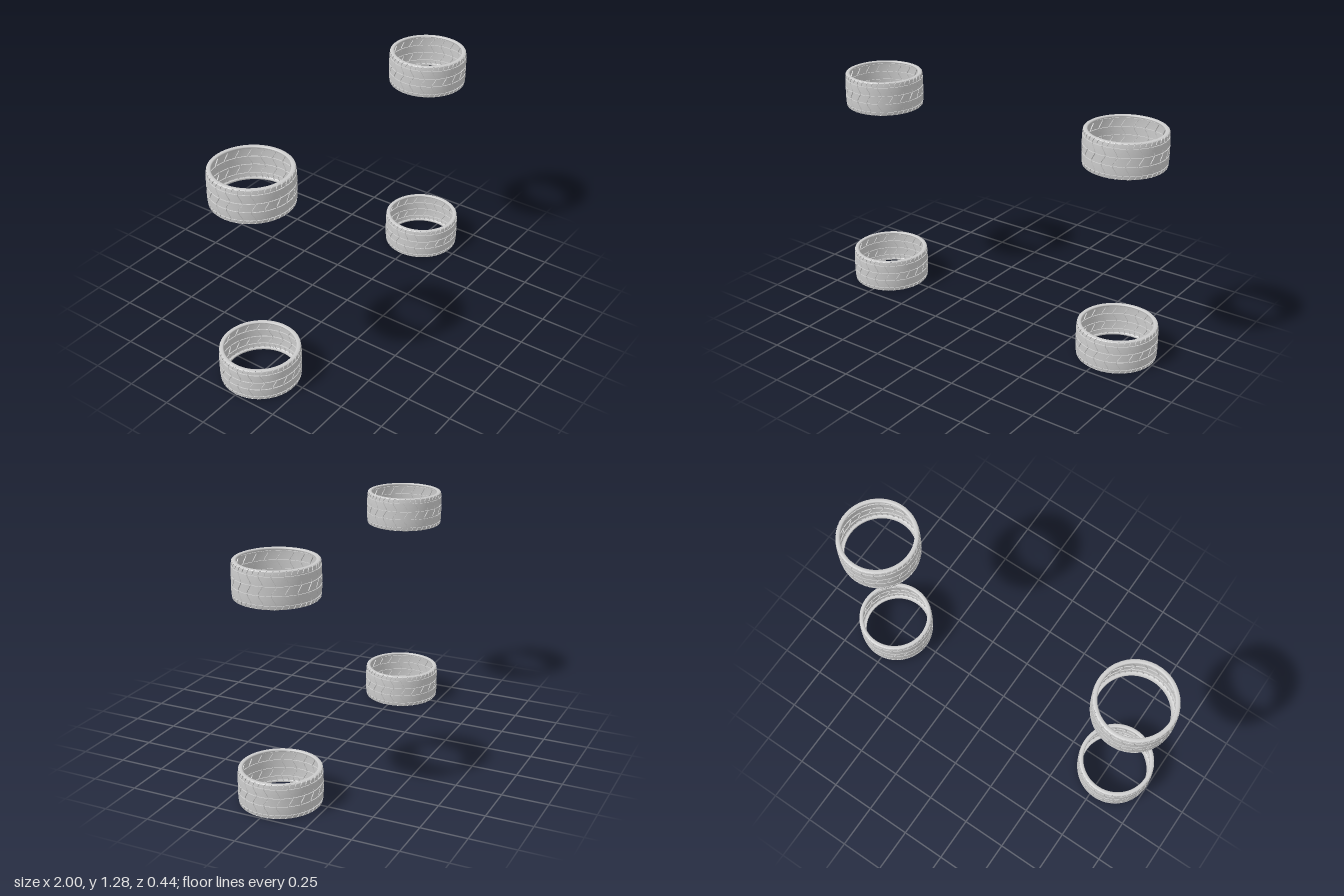
import * as THREE from 'three';
import { toCreasedNormals } from 'three/addons/utils/BufferGeometryUtils.js';

const R = 0.218, H = 0.19, DEPTH = 0.005, PITCHES = 22, E = 0.0004;

// Grid lines along the width (v = -0.5..0.5); deep marks a groove floor
function widthLines() {
  const lines = [{ v: -0.49, rim: true }, { v: -0.475 }, { v: -0.44 }];
  const centres = [-0.37, -0.12, 0.12, 0.37], w = 0.016, e = E / H;
  centres.forEach((c, i) => {
    lines.push({ v: c - w - e }, { v: c - w, deep: true }, { v: c + w, deep: true }, { v: c + w + e });
    if (i < 3) {
      const a = c + w, b = centres[i + 1] - w;
      for (let k = 1; k < 5; k++) lines.push({ v: a + (b - a) * k / 5 });
    }
  });
  lines.push({ v: 0.44 }, { v: 0.475 }, { v: 0.49, rim: true });
  return lines;
}

// Grid lines around one pitch (u = 0..1): a full cross groove and a shoulder notch
const E_U = 0.01;
const pitchLines = [
  { u: 0, cut: 'full' }, { u: 0.075, cut: 'full' }, { u: 0.075 + E_U }, { u: 0.3 },
  { u: 0.5 - E_U }, { u: 0.5, cut: 'notch' }, { u: 0.57, cut: 'notch' }, { u: 0.57 + E_U },
  { u: 0.78 }, { u: 1 - E_U },
];

// Tread shell with wavy cross grooves and four grooves running round it
function treadGeometry() {
  const rows = widthLines(), cols = PITCHES * pitchLines.length;
  const pos = [], index = [];
  for (const { v, deep, rim } of rows) {
    const a = Math.abs(v);
    const crown = R - 0.003 * (a / 0.44) ** 4 - (rim ? 0.002 : 0);
    for (let i = 0; i < cols; i++) {
      const { u, cut } = pitchLines[i % pitchLines.length];
      const pitch = Math.floor(i / pitchLines.length);
      const t = (pitch + u) / PITCHES * Math.PI * 2 + 0.05 * Math.sin(v * Math.PI * 4);
      const sunk = !rim && (deep || cut === 'full' || (cut === 'notch' && a > 0.38));
      const r = crown - (sunk ? DEPTH : 0);
      pos.push(r * Math.sin(t), v * H, r * Math.cos(t));
    }
  }
  for (let j = 0; j < rows.length - 1; j++) {
    for (let i = 0; i < cols; i++) {
      const n = (i + 1) % cols;
      const a = j * cols + i, b = j * cols + n, c = a + cols, d = b + cols;
      index.push(a, b, d, a, d, c);
    }
  }
  const g = new THREE.BufferGeometry();
  g.setAttribute('position', new THREE.Float32BufferAttribute(pos, 3));
  g.setIndex(index);
  return toCreasedNormals(g, 0.5);
}

// Sidewall with rounded shoulder and a short bead turned inwards
function sidewallGeometry() {
  const edge = R - 0.003 * (0.49 / 0.44) ** 4 - 0.002;
  const profile = [
    [edge, 0.49 * H], [0.208, 0.0946], [0.201, 0.095], [0.195, 0.0945], [0.191, 0.0925], [0.190, 0.088], [0.192, 0.084],
  ].map(([r, y]) => new THREE.Vector2(r, y));
  return new THREE.LatheGeometry(profile, 96);
}

export function createModel() {
  const model = new THREE.Group();
  const material = new THREE.MeshStandardMaterial({ color: 0xcccccc, side: THREE.DoubleSide });
  const tread = treadGeometry(), sidewall = sidewallGeometry();

  // Four tyres lying flat, two on each side
  for (const [side, x] of [['left', 0.782], ['right', -0.782]]) {
    for (const [level, y] of [['Lower', 0], ['Upper', 1.09]]) {
      const tyre = new THREE.Group();
      tyre.name = side + level + 'Tyre';
      const treadMesh = new THREE.Mesh(tread, material);
      treadMesh.name = 'tread';
      tyre.add(treadMesh);
      for (const flip of [0, Math.PI]) {
        const wall = new THREE.Mesh(sidewall, material);
        wall.name = flip ? 'bottomSidewall' : 'topSidewall';
        wall.rotation.x = flip;
        tyre.add(wall);
      }
      tyre.position.set(x, y + H / 2, 0);
      model.add(tyre);
    }
  }
  return model;
}
